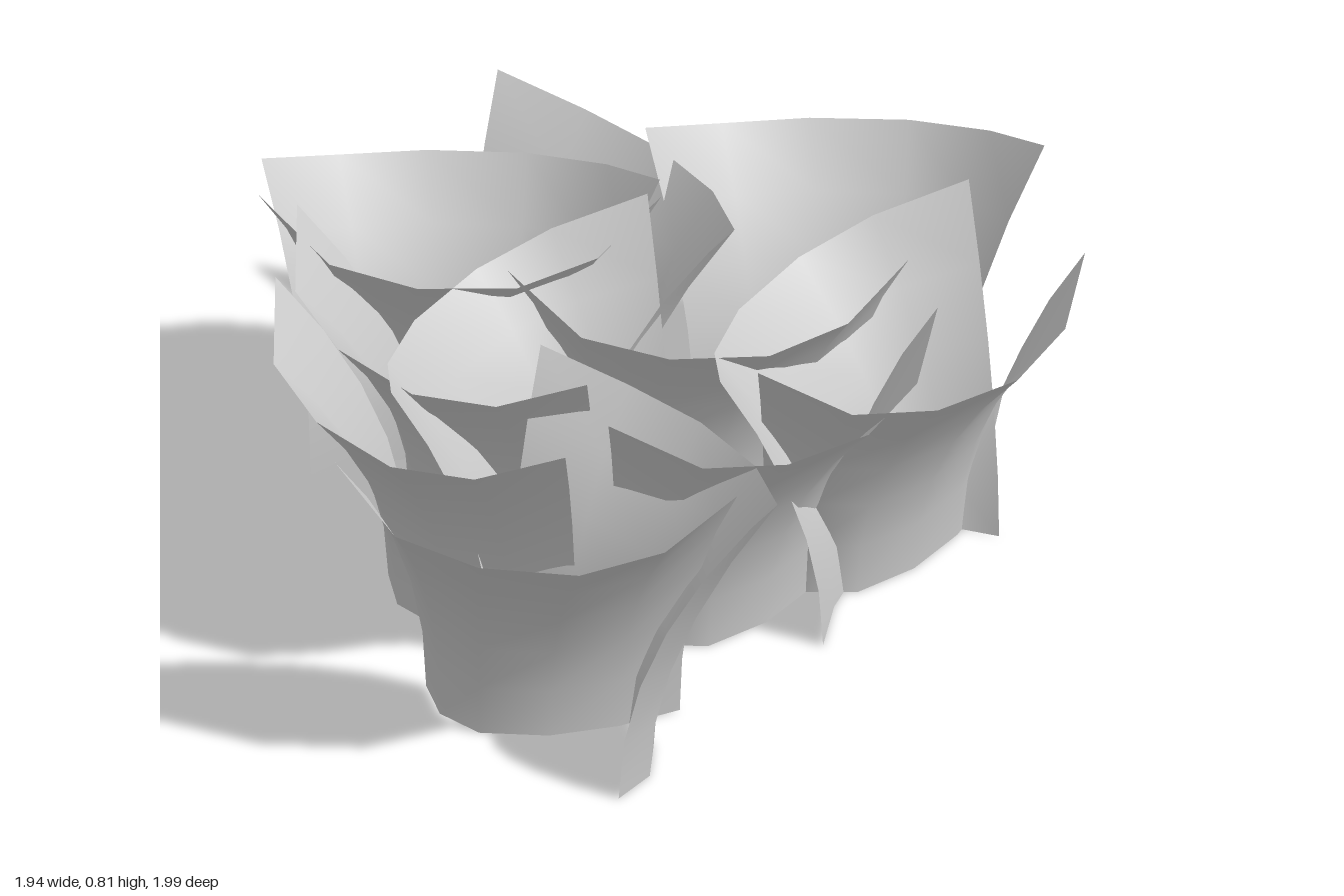
import * as THREE from 'three';

// Petal cross-sections from left to right, as seen from outside: [x, z]
const TOP = [[-0.473, 0], [-0.319, 0.165], [-0.118, 0.228], [0.118, 0.222], [0.314, 0.142], [0.474, 0]];
const BOTTOM = [[-0.275, -0.245], [-0.235, -0.135], [-0.138, -0.065], [0.026, -0.065], [0.187, -0.115], [0.325, -0.19]];
// Height of the wavy rim at each column
const RIM = [0.81, 0.72, 0.685, 0.67, 0.69, 0.76];

// Each petal: centre x, z, and outward direction x, z
const PETALS = [
  [-0.46, 0.675, -0.24, 0.97],
  [-0.44, -0.48, -0.1, 0.995],
  [0.085, -0.105, -0.05, 1],
  [0.545, 0.17, 0.44, 0.9],
  [0.165, 0.325, 0.43, 0.9],
  [-0.175, 0.55, 0.93, -0.37],
  [-0.085, -0.56, 0.93, -0.37],
  [0.49, -0.56, 0.316, -0.949],
  [-0.42, -0.585, 0.33, -0.944],
  [-0.65, 0.185, -0.81, 0.59],
  [-0.55, -0.095, -0.81, 0.59],
  [-0.37, -0.07, -0.653, -0.758],
  [0.39, 0.01, -0.67, -0.74],
];

// A curved sheet that flares outward with the square of its height
function petalGeometry() {
  const columns = TOP.length - 1, rows = 5;
  const geometry = new THREE.PlaneGeometry(1, 1, columns, rows);
  const position = geometry.attributes.position;
  for (let i = 0; i < position.count; i++) {
    const column = i % (columns + 1);
    const t = 1 - Math.floor(i / (columns + 1)) / rows;
    const [bx, bz] = BOTTOM[column], [tx, tz] = TOP[column];
    const flare = t * t;
    position.setXYZ(i,
      THREE.MathUtils.lerp(bx, tx, flare),
      RIM[column] * t,
      THREE.MathUtils.lerp(bz, tz, flare));
  }
  geometry.computeVertexNormals();
  return geometry;
}

export function createModel() {
  const flower = new THREE.Group();
  flower.name = 'petalCluster';
  const geometry = petalGeometry();
  const material = new THREE.MeshStandardMaterial({ color: 0xcccccc, side: THREE.DoubleSide });
  PETALS.forEach(([x, z, dx, dz], i) => {
    const petal = new THREE.Mesh(geometry, material);
    petal.name = `petal${i + 1}`;
    petal.position.set(x, 0, z);
    petal.rotation.y = Math.atan2(dx, dz);
    flower.add(petal);
  });
  return flower;
}
